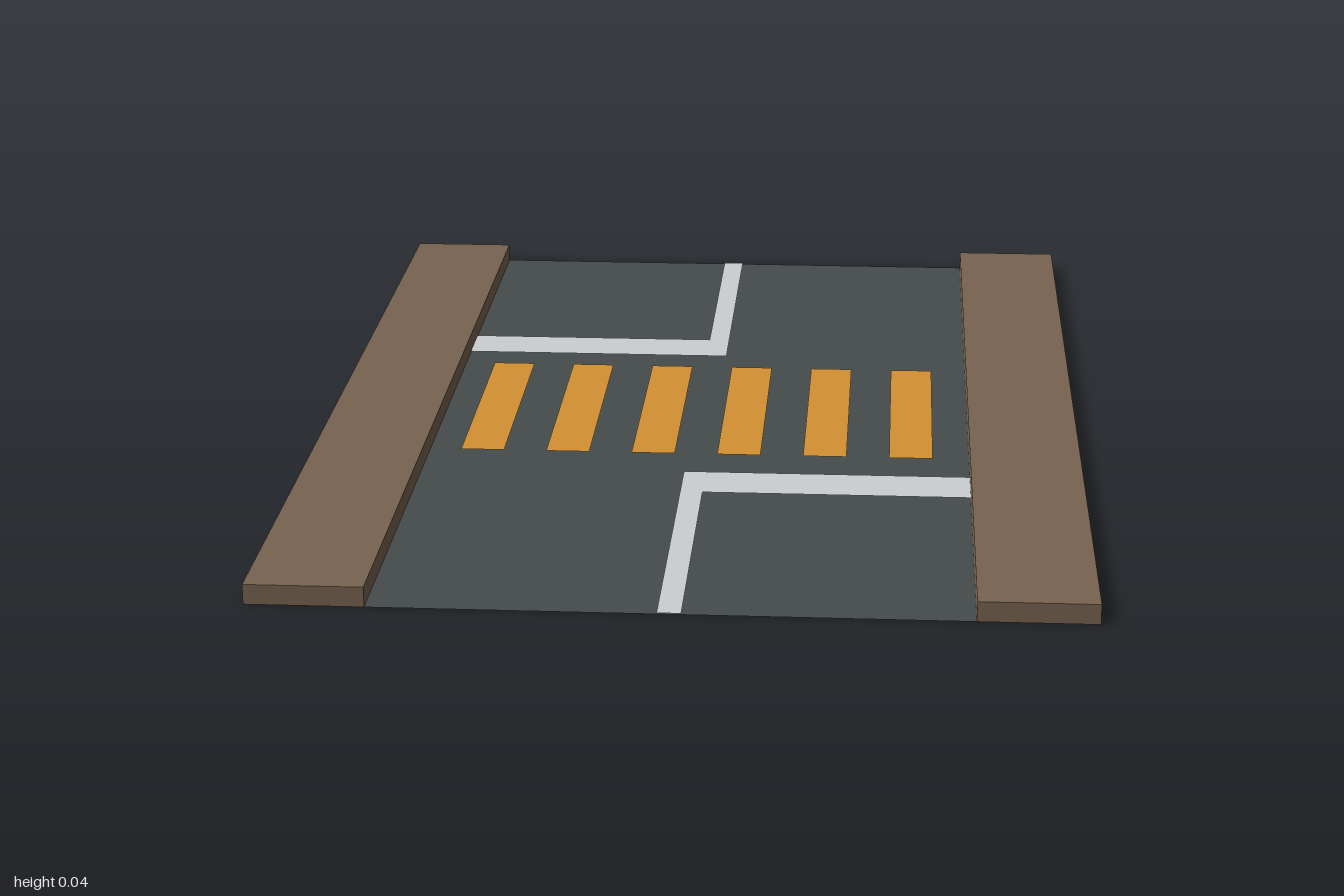
import * as THREE from 'three';

const mat = (name, color) => {
  const m = new THREE.MeshStandardMaterial({ color, side: THREE.DoubleSide });
  m.name = name;
  return m;
};

export function createModel() {
  const model = new THREE.Group();
  model.name = 'roadWithCrossing';
  const asphalt = mat('asphalt', 0x454b4b);
  const kerbBrown = mat('kerbBrown', 0x78634f);
  const whitePaint = mat('whitePaint', 0xcbcfd1);
  const orangePaint = mat('orangePaint', 0xd49132);

  // Flat rectangle lying at height y, spanning x0..x1 and z0..z1
  function flat(name, material, x0, x1, z0, z1, y, parent = model) {
    const geo = new THREE.PlaneGeometry(x1 - x0, z1 - z0).rotateX(-Math.PI / 2);
    const mesh = new THREE.Mesh(geo, material);
    mesh.position.set((x0 + x1) / 2, y, (z0 + z1) / 2);
    mesh.name = name;
    parent.add(mesh);
    return mesh;
  }

  // Road surface
  flat('roadSurface', asphalt, -0.5, 0.5, -1, 1, 0);

  // Crossing stripes
  for (let i = 0; i < 6; i++) {
    const x = -0.402 + i * 0.159;
    flat('crossingStripe', orangePaint, x - 0.04, x + 0.04, -0.27, 0.24, 0.002);
  }

  // Stop lines and centre lines
  flat('backStopLine', whitePaint, -0.5, 0.02, -0.445, -0.34, 0.002);
  flat('backCentreLine', whitePaint, -0.02, 0.02, -1, -0.445, 0.002);
  flat('frontStopLine', whitePaint, -0.02, 0.5, 0.335, 0.44, 0.002);
  flat('frontCentreLine', whitePaint, -0.02, 0.02, 0.44, 1, 0.002);

  // Raised pavements: shells with an open underside, closed only at one end
  const shell = new THREE.BoxGeometry(0.2, 0.035, 2);
  const index = Array.from(shell.index.array);
  index.splice(18, 6); // drop the bottom face
  shell.setIndex(index);
  shell.clearGroups();
  for (const side of [1, -1]) {
    const pavement = new THREE.Group();
    pavement.name = side > 0 ? 'leftPavement' : 'rightPavement';
    const body = new THREE.Mesh(shell, kerbBrown);
    body.name = 'pavementShell';
    body.position.set(0.6, 0.0175, 0);
    pavement.add(body);
    flat('pavementUnderside', kerbBrown, 0.5, 0.7, 0.78, 1, 0, pavement);
    if (side < 0) pavement.rotation.y = Math.PI;
    model.add(pavement);
  }
  return model;
}
